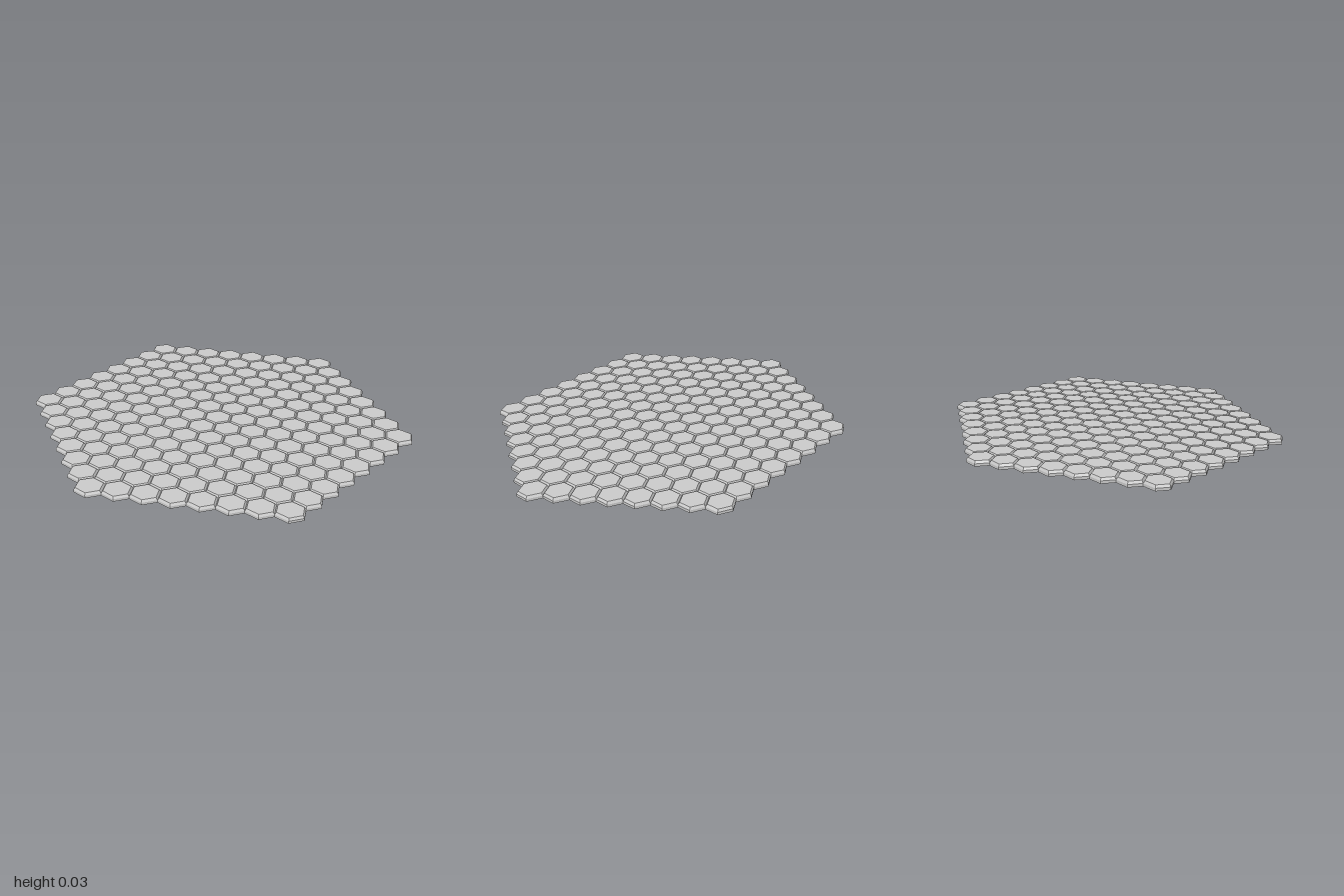
import * as THREE from 'three';

const RINGS = 7;            // rings of cells around the middle one
const WIDTH = 2 / 15;       // cell width and column pitch
const PITCH = 0.1;          // row pitch along z
const RADIUS = PITCH / 1.5; // corner radius along z
const HEIGHT = 0.025;

// Six-sided tile: flat base, short upright wall, chamfer, flat top
function tileGeometry() {
  const profile = [
    [0, 0], [RADIUS, 0], [RADIUS, 0.013], [RADIUS * 0.89, HEIGHT], [0, HEIGHT],
  ].map(([r, y]) => new THREE.Vector2(r, y));
  const geometry = new THREE.LatheGeometry(profile, 6);
  // Widen along x so that neighbouring tiles meet
  geometry.scale(WIDTH / (2 * RADIUS * Math.cos(Math.PI / 6)), 1, 1);
  return geometry;
}

export function createModel() {
  const model = new THREE.Group();
  model.name = 'hexTileBoard';
  const material = new THREE.MeshStandardMaterial({ color: 0xcccccc, flatShading: true });
  const geometry = tileGeometry();

  // Rows lose one tile for each step away from the middle
  for (let row = -RINGS; row <= RINGS; row++) {
    const tileRow = new THREE.Group();
    tileRow.name = `tileRow${row + RINGS + 1}`;
    tileRow.position.z = row * PITCH;
    const count = 2 * RINGS + 1 - Math.abs(row);
    for (let i = 0; i < count; i++) {
      const tile = new THREE.Mesh(geometry, material);
      tile.name = 'hexTile';
      tile.position.x = (i - (count - 1) / 2) * WIDTH;
      tileRow.add(tile);
    }
    model.add(tileRow);
  }
  return model;
}
